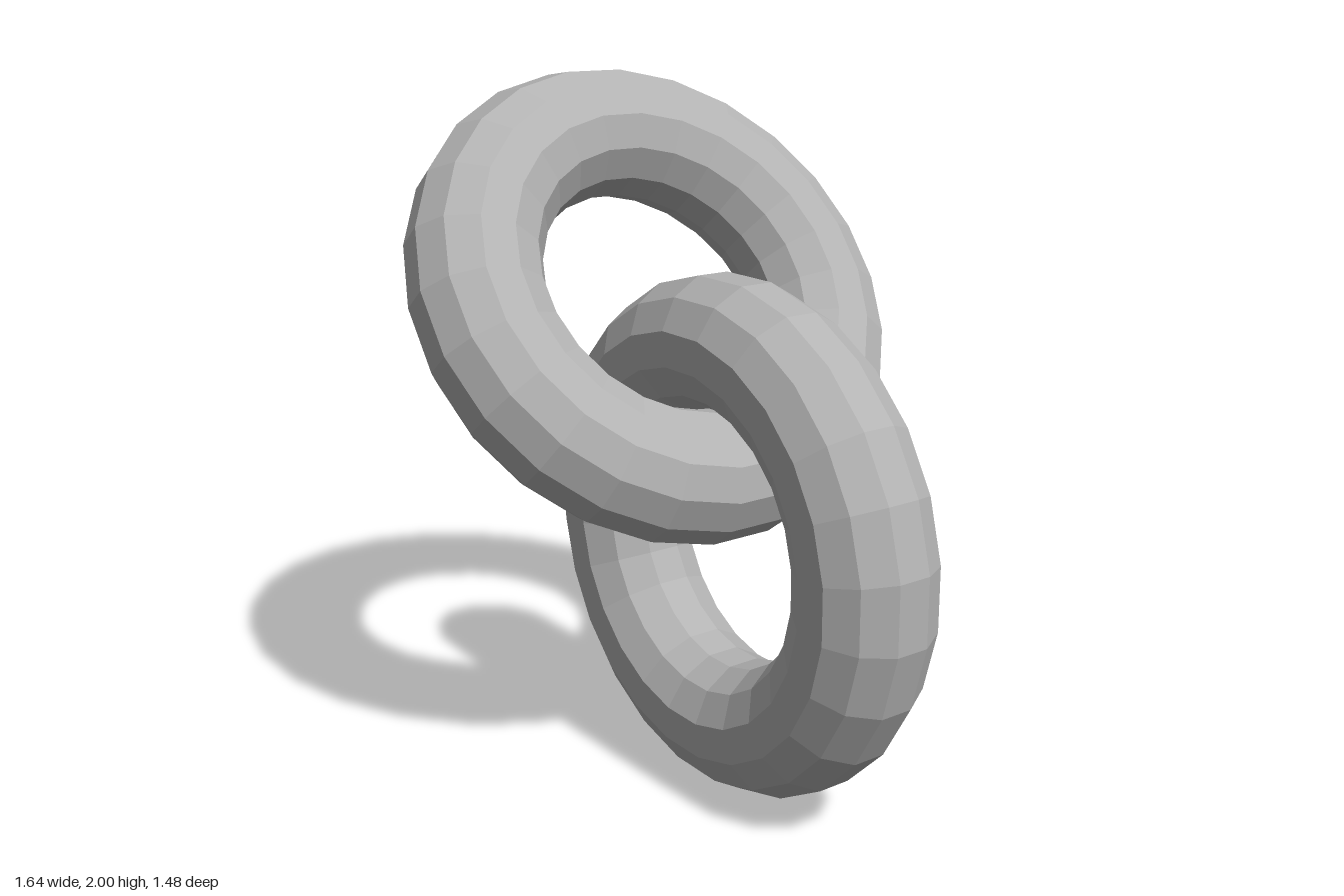
import * as THREE from 'three';

const RING_RADIUS = 0.563, TUBE_RADIUS = 0.192;
const SIDES = 12, SEGMENTS = 24;

// Faceted torus around the y axis, with flat facets on its outer and inner rims
function ringGeometry() {
  const profile = [];
  for (let i = 0; i <= SIDES; i++) {
    const a = ((i + 0.5) / SIDES) * Math.PI * 2;
    profile.push(new THREE.Vector2(
      RING_RADIUS + TUBE_RADIUS * Math.cos(a),
      TUBE_RADIUS * Math.sin(a)
    ));
  }
  return new THREE.LatheGeometry(profile, SEGMENTS, Math.PI / SEGMENTS);
}

export function createModel() {
  const group = new THREE.Group();
  group.name = 'chainLinks';
  const grey = new THREE.MeshStandardMaterial({ color: 0xb3b3b3, flatShading: true });
  grey.name = 'grey';
  const geometry = ringGeometry();

  // Upright ring facing the front
  const lower = new THREE.Mesh(geometry, grey);
  lower.name = 'lowerRing';
  lower.rotation.x = Math.PI / 2;
  lower.position.set(0.075, 0.746, 0);

  // Tilted ring threaded through the first
  const upper = new THREE.Mesh(geometry, grey);
  upper.name = 'upperRing';
  upper.rotation.z = -0.92;
  upper.position.set(-0.3, 1.372, 0);

  group.add(lower, upper);
  return group;
}
